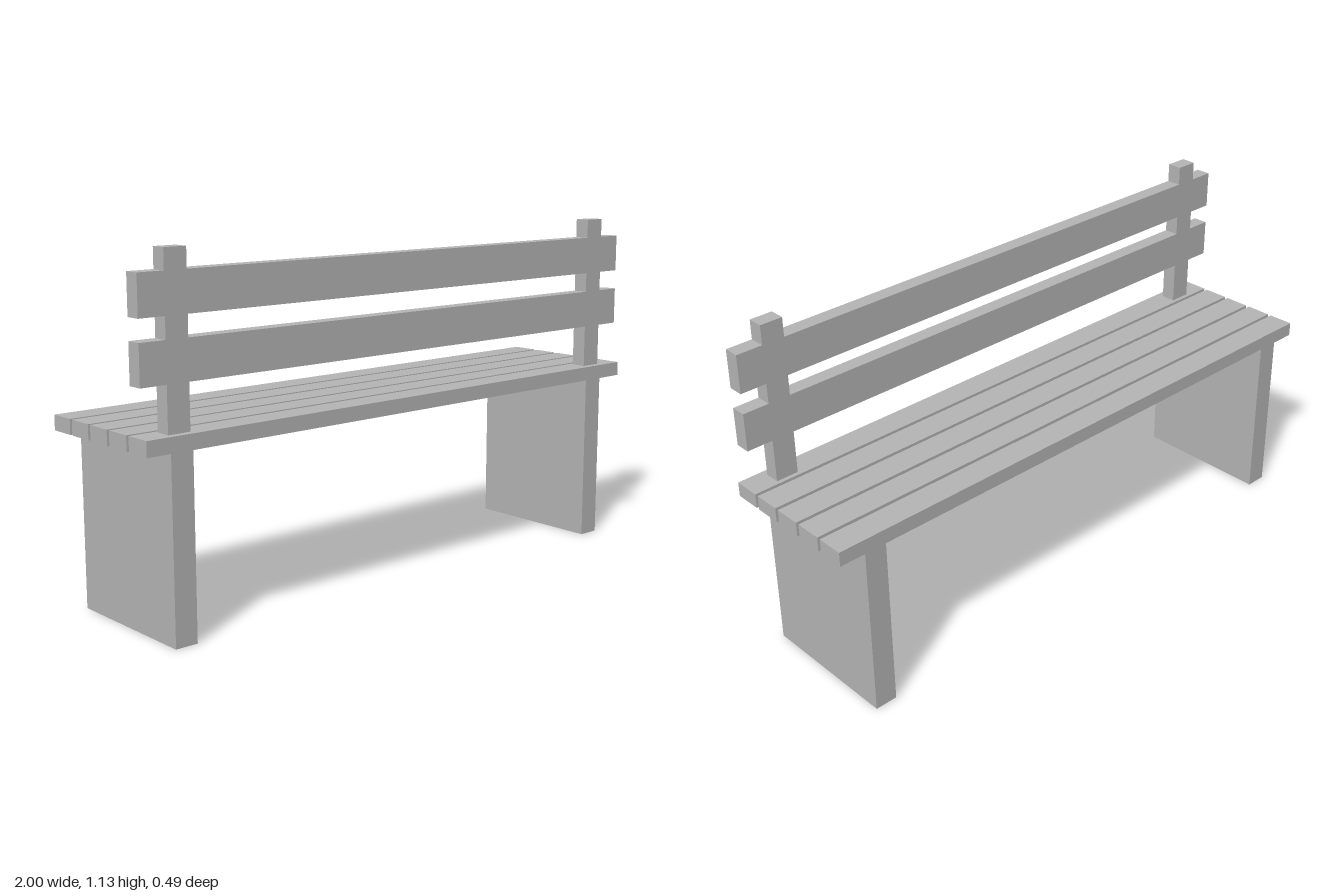
import * as THREE from 'three';

export function createModel() {
  const bench = new THREE.Group();
  bench.name = 'bench';
  const grey = new THREE.MeshStandardMaterial({ color: 0xb4b4b4 });
  grey.name = 'plain grey';

  // Box given by its lower and upper limits on each axis
  function addBox(name, [x0, x1], [y0, y1], [z0, z1]) {
    const mesh = new THREE.Mesh(new THREE.BoxGeometry(x1 - x0, y1 - y0, z1 - z0), grey);
    mesh.name = name;
    mesh.position.set((x0 + x1) / 2, (y0 + y1) / 2, (z0 + z1) / 2);
    bench.add(mesh);
  }

  // Seat: five planks with narrow gaps
  const plankWidth = 0.088, pitch = 0.1;
  for (let i = -2; i <= 2; i++) {
    const z = i * pitch;
    addBox(`seatPlank${i + 3}`, [-1, 1], [0.566, 0.613], [z - plankWidth / 2, z + plankWidth / 2]);
  }

  // Slab legs and backrest posts, one pair at each end
  for (const [side, s] of [['left', 1], ['right', -1]]) {
    const x = [s * 0.877 - 0.037, s * 0.877 + 0.037];
    addBox(`${side}Leg`, x, [0, 0.574], [-0.244, 0.232]);
    addBox(`${side}BackPost`, x, [0.6, 1.126], [0.17, 0.22]);
  }

  // Backrest boards, flush with the posts
  addBox('lowerBackBoard', [-1, 1], [0.753, 0.876], [0.17, 0.22]);
  addBox('upperBackBoard', [-1, 1], [0.941, 1.064], [0.17, 0.22]);

  return bench;
}
